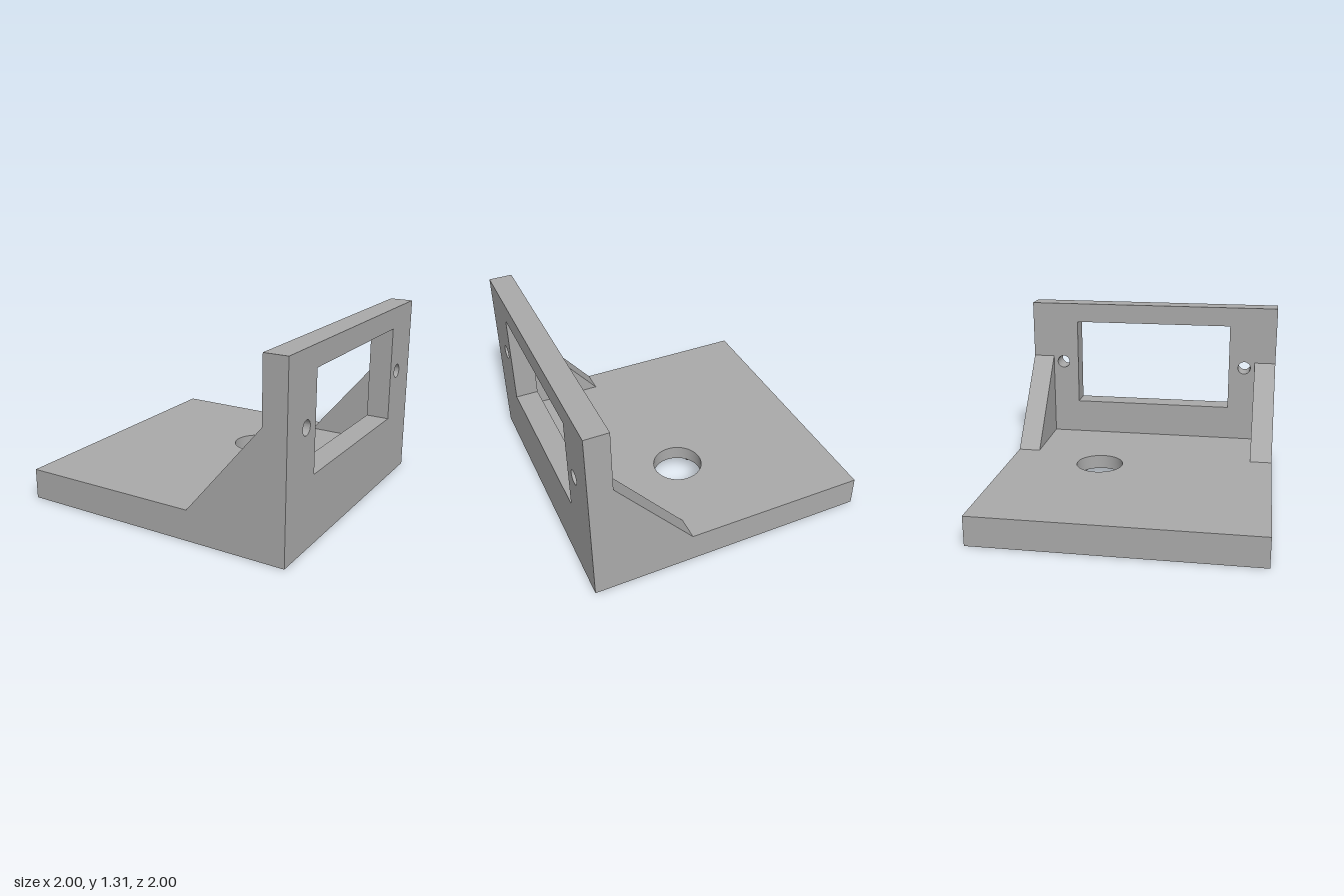
import * as THREE from 'three';
import { toCreasedNormals } from 'three/addons/utils/BufferGeometryUtils.js';

const grey = new THREE.MeshStandardMaterial({ color: 0xaaaaaa });
grey.name = 'plain grey';

const BASE = 0.215, POCKET = 0.11, HEIGHT = 1.31, WALL_X = 0.835;
const HUB_X = 0.08, HUB_Y = 0.3; // hub centre; shape y is -z

function rect(x0, y0, x1, y1, Type = THREE.Shape) {
  const s = new Type();
  s.moveTo(x0, y0);
  s.lineTo(x1, y0);
  s.lineTo(x1, y1);
  s.lineTo(x0, y1);
  s.closePath();
  return s;
}

function circle(x, y, r) {
  return new THREE.Path().absarc(x, y, r, 0, Math.PI * 2, false);
}

function extrude(shape, depth) {
  const g = new THREE.ExtrudeGeometry(shape, { depth, bevelEnabled: false, curveSegments: 24 });
  return toCreasedNormals(g, 0.5);
}

function part(group, name, geometry) {
  const mesh = new THREE.Mesh(geometry, grey);
  mesh.name = name;
  group.add(mesh);
  return mesh;
}

// Four tapered arms with round tips; the one under the wall ends square
function crossPocket() {
  const p = new THREE.Path(), w = 0.18, h = 0.215, r = 0.13;
  p.moveTo(HUB_X + w, HUB_Y - h);
  p.lineTo(0.84, HUB_Y - 0.137);
  p.lineTo(0.84, HUB_Y + 0.137);
  p.lineTo(HUB_X + w, HUB_Y + h);
  p.absarc(HUB_X, HUB_Y + 0.55, r, 0, Math.PI, false);
  p.lineTo(HUB_X - w, HUB_Y + h);
  p.absarc(HUB_X - 0.83, HUB_Y, r, Math.PI / 2, Math.PI * 1.5, false);
  p.lineTo(HUB_X - w, HUB_Y - h);
  p.absarc(HUB_X, HUB_Y - 0.55, r, Math.PI, Math.PI * 2, false);
  p.closePath();
  return p;
}

export function createModel() {
  const group = new THREE.Group();
  group.name = 'mountingBracket';

  // Base: lower layer with the cross pocket, upper layer with the round hole
  const lower = rect(-1, -1, 1, 1);
  lower.holes.push(crossPocket());
  part(group, 'basePocketLayer', extrude(lower, POCKET).rotateX(-Math.PI / 2));

  const upper = rect(-1, -1, 1, 1);
  upper.holes.push(circle(HUB_X, HUB_Y, 0.175));
  part(group, 'baseTopLayer', extrude(upper, BASE - POCKET).rotateX(-Math.PI / 2))
    .position.y = POCKET;

  // Upright wall with window and two screw holes
  const wall = rect(-1, BASE, 1, HEIGHT);
  wall.holes.push(rect(-0.628, 0.48, 0.628, 1.16, THREE.Path));
  for (const side of [-1, 1]) wall.holes.push(circle(side * 0.752, 0.82, 0.05));
  part(group, 'uprightWall', extrude(wall, 1 - WALL_X).rotateY(Math.PI / 2))
    .position.x = WALL_X;

  // Triangular gussets at both ends of the wall
  const gusset = new THREE.Shape();
  gusset.moveTo(0.295, BASE);
  gusset.lineTo(WALL_X, BASE);
  gusset.lineTo(WALL_X, 0.865);
  gusset.closePath();
  const gussetGeometry = extrude(gusset, 0.165);
  part(group, 'frontGusset', gussetGeometry).position.z = 0.835;
  part(group, 'backGusset', gussetGeometry).position.z = -1;

  return group;
}
